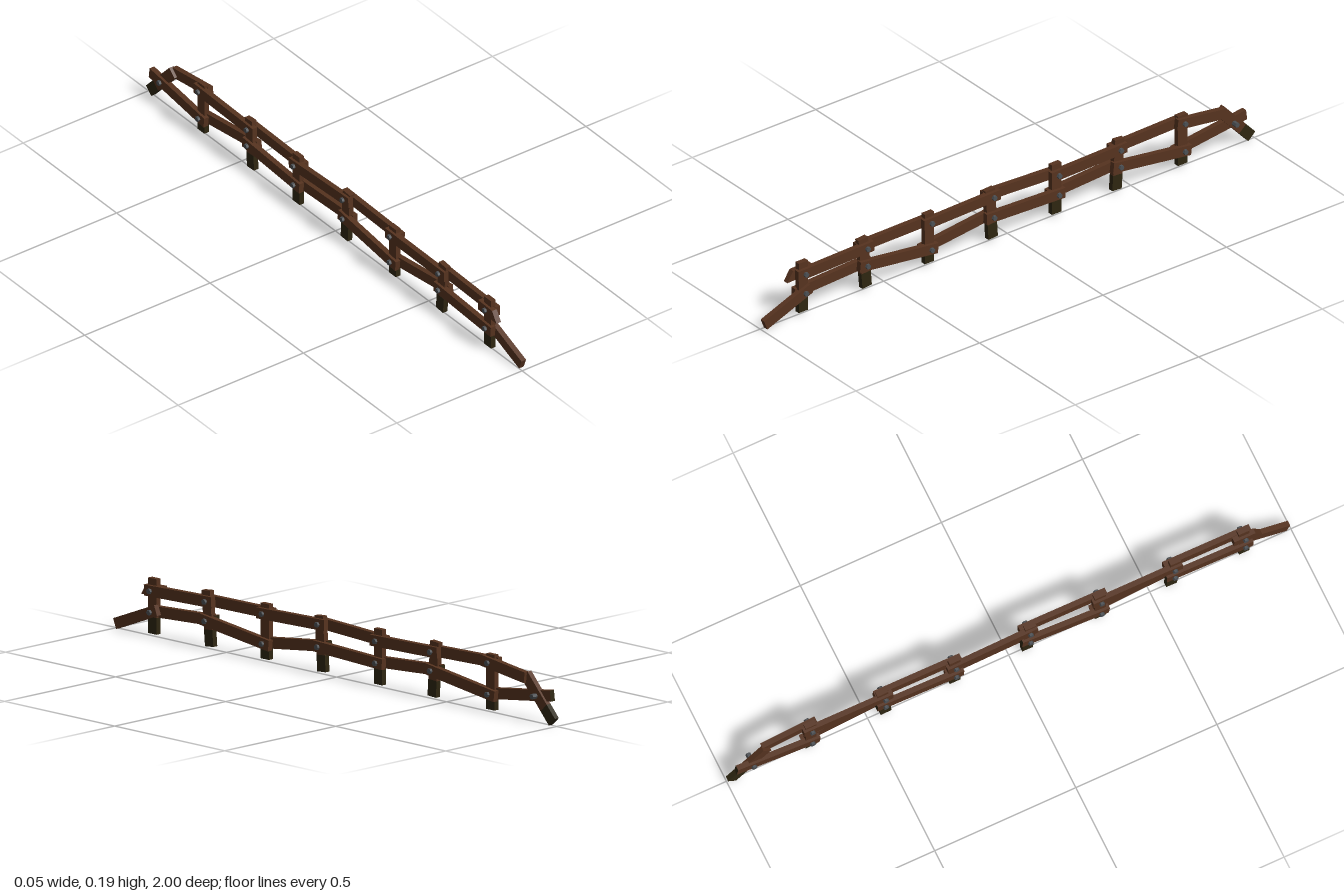
import * as THREE from 'three';

const mat = (name, color) => Object.assign(new THREE.MeshStandardMaterial({ color }), { name });

export function createModel() {
  const fence = new THREE.Group();
  fence.name = 'fence';
  const wood = mat('brown wood', 0x56331f);
  const moss = mat('mossy wood', 0x2e2611);
  const iron = mat('dark iron', 0x4c5054);

  const add = (name, geometry, material) => {
    const mesh = new THREE.Mesh(geometry, material);
    mesh.name = name;
    fence.add(mesh);
    return mesh;
  };

  // A beam between two [z, y] points, with its length along local z
  function beam(name, x, a, b, thick, high, material, slant = 0) {
    const dz = b[0] - a[0], dy = b[1] - a[1];
    const geometry = new THREE.BoxGeometry(thick, high, Math.hypot(dz, dy));
    // Shear the +z end for a splintered cut
    const p = geometry.attributes.position;
    for (let i = 0; i < p.count; i++) {
      if (p.getZ(i) > 0 && p.getY(i) > 0) p.setZ(i, p.getZ(i) - slant);
    }
    geometry.computeVertexNormals();
    const mesh = add(name, geometry, material);
    mesh.position.set(x, (a[1] + b[1]) / 2, (a[0] + b[0]) / 2);
    mesh.rotation.x = -Math.atan2(dy, dz);
    return mesh;
  }

  // Post: mossy foot and brown upper part
  function post(bottom, top) {
    const split = [0, 1].map(i => bottom[i] + (top[i] - bottom[i]) * 0.3);
    beam('postFoot', -0.002, bottom, split, 0.018, 0.038, moss);
    beam('postTop', -0.002, split, top, 0.018, 0.038, wood);
  }

  // Bolt through post and rails
  function bolt(z, y) {
    const geometry = new THREE.CylinderGeometry(0.009, 0.009, 0.055, 6).toNonIndexed();
    geometry.computeVertexNormals();
    const mesh = add('bolt', geometry, iron);
    mesh.rotation.z = Math.PI / 2;
    mesh.position.set(-0.001, y, z);
  }

  // Rail board running past both of its posts
  function rail(name, side, a, b, overA, overB, ends = wood) {
    const length = Math.hypot(b[0] - a[0], b[1] - a[1]);
    const along = (p, d) => [0, 1].map(i => p[i] + (b[i] - a[i]) / length * d);
    beam(name, -0.001 + side * 0.0095, along(a, -overA), along(b, overB),
      0.0185, 0.036, [wood, wood, wood, wood, ends, wood]);
  }

  // Post positions, lean, and rail heights at each post
  const zs = [0.83, 0.58, 0.32, 0.068, -0.195, -0.445, -0.705];
  const lean = [0, 0.008, 0, 0.006, 0, -0.006, 0];
  const upper = [0.15, 0.156, 0.158, 0.164, 0.152, 0.157, 0.163];
  const lower = [0.08, 0.092, 0.06, 0.09, 0.08, 0.095, 0.06];

  zs.forEach((z, i) => {
    post([z - lean[i], 0.008], [z + lean[i], 0.19]);
    bolt(z, upper[i]);
    bolt(z, lower[i]);
  });

  // Rails swap sides at every post
  for (let i = 0; i < 6; i++) {
    const side = i % 2 ? -1 : 1;
    rail('upperRail', side, [zs[i], upper[i]], [zs[i + 1], upper[i + 1]], 0.028, 0.028);
    rail('lowerRail', -side, [zs[i], lower[i]], [zs[i + 1], lower[i + 1]], 0.028, 0.028,
      side > 0 ? moss : wood);
  }

  // Back end: fallen post with its two rails
  post([-0.985, 0.0125], [-0.86, 0.148]);
  rail('upperRail', 1, [zs[6], upper[6]], [-0.87, 0.141], 0.028, 0);
  rail('lowerRail', -1, [zs[6], lower[6]], [-0.97, 0.094], 0.028, 0, moss);
  bolt(-0.912, 0.087);

  // Front end: snapped upper rail and a lower rail fallen to the ground
  beam('brokenRail', -0.0105, [0.79, 0.15], [0.89, 0.147], 0.0185, 0.036, wood, 0.025);
  beam('fallenRail', 0.0085, [0.805, 0.09], [0.991, 0.0175], 0.0185, 0.036, wood);

  return fence;
}
